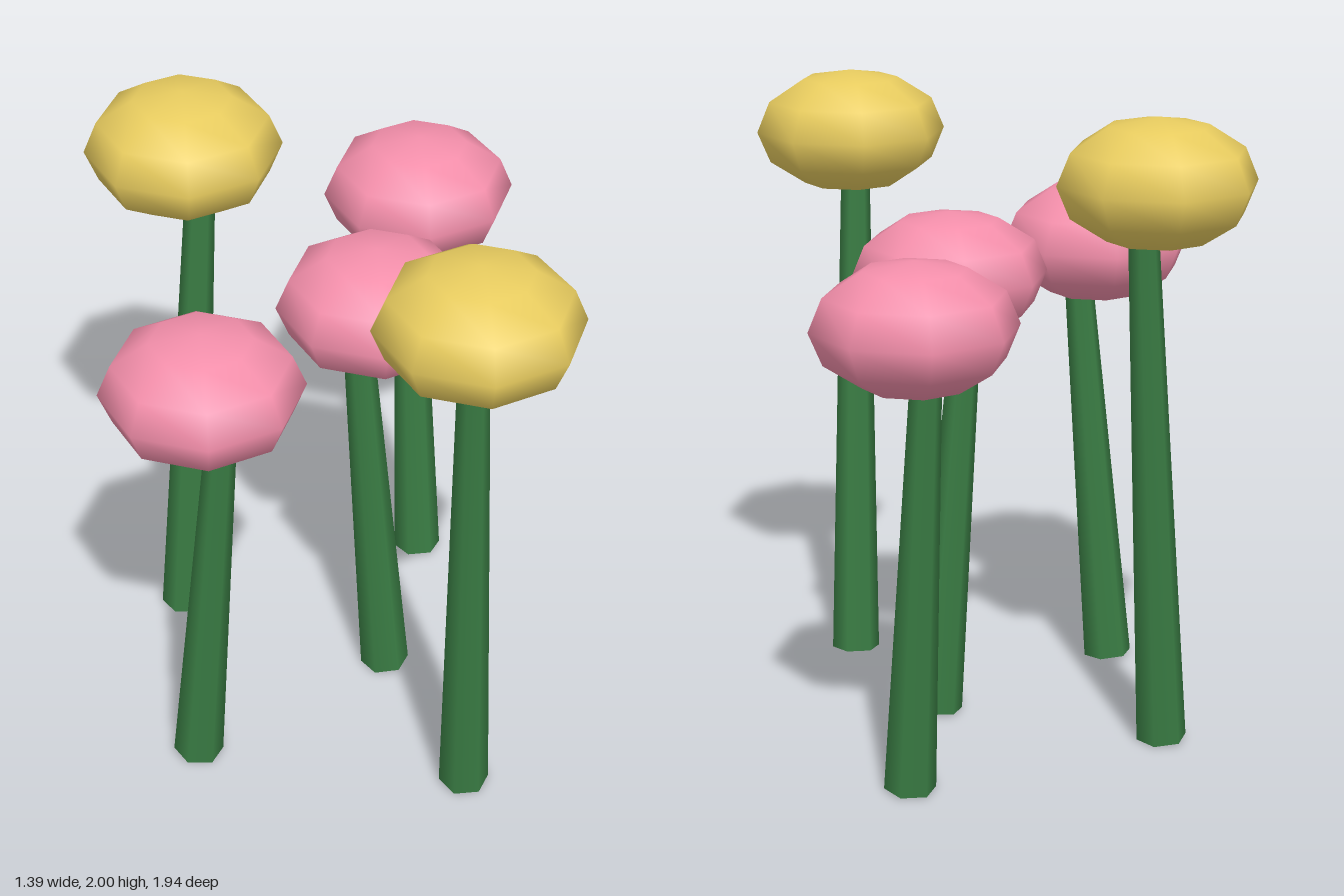
import * as THREE from 'three';

const green = new THREE.MeshStandardMaterial({ color: 0x3a7d44 });
const pink = new THREE.MeshStandardMaterial({ color: 0xf48fab });
const yellow = new THREE.MeshStandardMaterial({ color: 0xe8cc5f });

const HEAD_RADIUS = 0.31;
const HEAD_HALF_HEIGHT = 0.199;

// One flower: a flattened bloom on a leaning, tapered six-sided stem.
// leanX and leanZ are the sideways run of the stem per unit of height.
function makeFlower({ x, z, headY, material, leanX, leanZ }) {
  const flower = new THREE.Group();
  flower.name = 'flower';

  const head = new THREE.Mesh(new THREE.SphereGeometry(1, 8, 6), material);
  head.name = 'flowerHead';
  head.scale.set(HEAD_RADIUS, HEAD_HALF_HEIGHT, HEAD_RADIUS);
  head.position.set(x, headY, z);
  flower.add(head);

  // The stem pivots about the middle of its visible height
  const middleY = (headY - HEAD_HALF_HEIGHT) / 2;
  const axis = new THREE.Vector3(leanX, 1, leanZ);
  const bottom = new THREE.Vector3(x, middleY, z).addScaledVector(axis, 0.009 - middleY);
  const top = new THREE.Vector3(x, middleY, z).addScaledVector(axis, middleY + 0.03);
  const geometry = new THREE.CylinderGeometry(0.048, 0.08, bottom.distanceTo(top), 6);
  geometry.rotateY(Math.PI / 6);
  const stem = new THREE.Mesh(geometry, green);
  stem.name = 'stem';
  stem.position.copy(bottom).lerp(top, 0.5);
  stem.quaternion.setFromUnitVectors(new THREE.Vector3(0, 1, 0), axis.normalize());
  flower.add(stem);

  return flower;
}

export function createModel() {
  const model = new THREE.Group();
  model.name = 'flowerPatch';
  const tall = { headY: 1.801, material: yellow };
  const short = { headY: 1.455, material: pink };
  const flowers = [
    { ...tall, x: -0.39, z: -0.41, leanX: 0.06, leanZ: -0.045 },
    { ...tall, x: 0.385, z: 0.66, leanX: -0.024, leanZ: 0.073 },
    { ...short, x: 0.385, z: -0.66, leanX: -0.033, leanZ: -0.075 },
    { ...short, x: 0.17, z: 0, leanX: -0.077, leanZ: 0 },
    { ...short, x: -0.39, z: 0.41, leanX: 0.075, leanZ: 0.045 },
  ];
  for (const spec of flowers) model.add(makeFlower(spec));
  return model;
}
